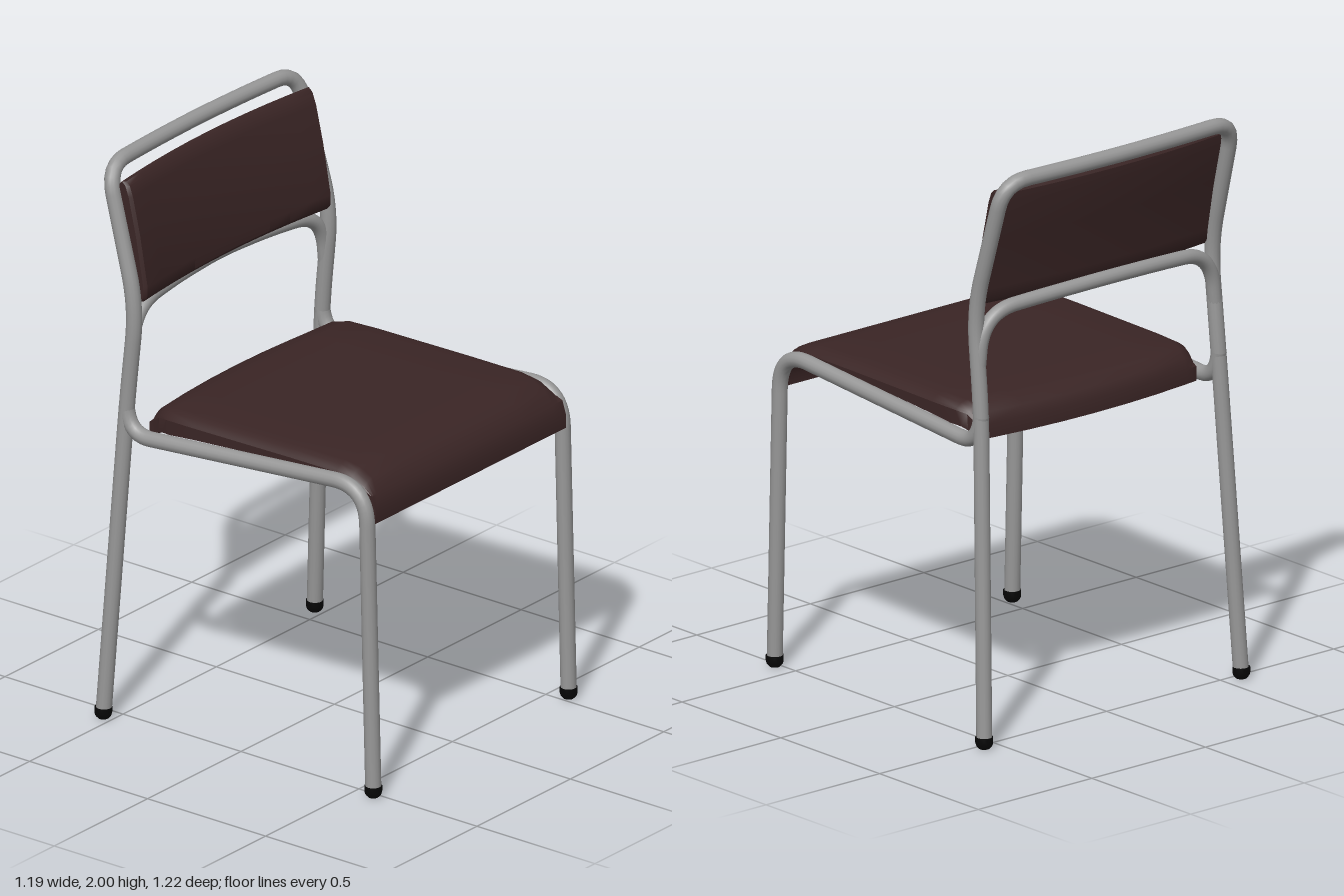
import * as THREE from 'three';
import { toCreasedNormals } from 'three/addons/utils/BufferGeometryUtils.js';

const V = (p) => new THREE.Vector3(p[0], p[1], p[2]);
const mirror = (p) => [-p[0], p[1], p[2]];

// Tube along a polyline whose corners are rounded; p[3] is the bend length at that corner
function pipe(name, points, radius, segments, material) {
  const path = new THREE.CurvePath();
  let last = V(points[0]);
  for (let i = 1; i < points.length - 1; i++) {
    const c = V(points[i]);
    const r = points[i][3];
    const a = c.clone().add(V(points[i - 1]).sub(c).setLength(r));
    const b = c.clone().add(V(points[i + 1]).sub(c).setLength(r));
    path.add(new THREE.LineCurve3(last, a));
    path.add(new THREE.QuadraticBezierCurve3(a, c, b));
    last = b;
  }
  path.add(new THREE.LineCurve3(last, V(points[points.length - 1])));
  const mesh = new THREE.Mesh(new THREE.TubeGeometry(path, segments, radius, 14), material);
  mesh.name = name;
  return mesh;
}

// Closed pad: an outer and an inner [z, y] profile swept over x, then shaped by a rule
function pad(name, outer, inner, xs, shape, material) {
  const n = outer.length;
  const m = n * 2;
  const loop = [...outer, ...inner.slice().reverse()];
  const pos = [];
  const idx = [];
  const quad = (a, b, c, d) => idx.push(a, b, c, a, c, d);
  xs.forEach((x) => loop.forEach(([z, y], j) => pos.push(...shape(x, y, z, j < n))));
  for (let i = 0; i < xs.length - 1; i++) {
    for (let j = 0; j < m; j++) {
      const k = (j + 1) % m;
      quad(i * m + j, (i + 1) * m + j, (i + 1) * m + k, i * m + k);
    }
  }
  // end caps
  const e = (xs.length - 1) * m;
  for (let j = 0; j < n - 1; j++) {
    quad(e + j, e + m - 1 - j, e + m - 2 - j, e + j + 1);
    quad(j, j + 1, m - 2 - j, m - 1 - j);
  }
  const g = new THREE.BufferGeometry();
  g.setAttribute('position', new THREE.Float32BufferAttribute(pos, 3));
  g.setIndex(idx);
  const mesh = new THREE.Mesh(toCreasedNormals(g, 0.7), material);
  mesh.name = name;
  return mesh;
}

export function createModel() {
  const steel = new THREE.MeshStandardMaterial({ color: 0x979797 });
  steel.name = 'grey steel';
  const brown = new THREE.MeshStandardMaterial({ color: 0x3a2525 });
  brown.name = 'dark brown';
  const black = new THREE.MeshStandardMaterial({ color: 0x060606 });
  black.name = 'black rubber';

  const chair = new THREE.Group();
  chair.name = 'chair';

  // Back legs and top rail in one bent tube
  const half = [
    [0.565, 0.03, -0.53],
    [0.522, 1.15, -0.465, 0.12],
    [0.52, 1.5, -0.428, 0.12],
    [0.505, 1.973, -0.56, 0.1],
    [0.25, 1.973, -0.575, 0.1],
  ];
  const backPath = [...half, [0, 1.973, -0.581, 0.1], ...half.slice().reverse().map((p) => [...mirror(p), p[3]])];
  chair.add(pipe('backFrame', backPath, 0.027, 180, steel));

  // Cross rail under the backrest
  const railHalf = [
    [0.52, 1.31, -0.45],
    [0.5, 1.49, -0.45, 0.13],
    [0.25, 1.507, -0.475, 0.1],
  ];
  const railPath = [...railHalf, [0, 1.514, -0.487, 0.1], ...railHalf.slice().reverse().map((p) => [...mirror(p), p[3]])];
  chair.add(pipe('crossRail', railPath, 0.025, 90, steel));

  // Front legs with seat rails, and rubber feet
  const footProfile = [[0, 0], [0.018, 0.002], [0.027, 0.012], [0.03, 0.022], [0.03, 0.042], [0, 0.042]];
  const footGeometry = toCreasedNormals(
    new THREE.LatheGeometry(footProfile.map(([x, y]) => new THREE.Vector2(x, y)), 16), 0.8);
  for (const s of [1, -1]) {
    const side = s > 0 ? 'left' : 'right';
    chair.add(pipe(side + 'FrontLegAndSeatRail', [
      [s * 0.523, 0.03, 0.579],
      [s * 0.523, 1.118, 0.55, 0.14],
      [s * 0.525, 1.035, -0.45, 0.09],
      [s * 0.523, 1.14, -0.467],
    ], 0.027, 110, steel));
    for (const [x, z, end] of [[0.523, 0.579, 'Front'], [0.566, -0.531, 'Back']]) {
      const foot = new THREE.Mesh(footGeometry, black);
      foot.name = side + end + 'Foot';
      foot.position.set(s * x, 0, z);
      chair.add(foot);
    }
  }

  // Seat: waterfall front, rolled back edge, rounded sides and trimmed back corners
  const seatTop = [
    [0.578, 0.985], [0.579, 1.03], [0.563, 1.08], [0.525, 1.122], [0.475, 1.147], [0.41, 1.156],
    [0.2, 1.155], [0, 1.152], [-0.2, 1.149], [-0.32, 1.146], [-0.38, 1.138], [-0.42, 1.115], [-0.438, 1.08], [-0.44, 1.03],
  ];
  const seatUnder = [
    [0.55, 0.985], [0.55, 1.02], [0.535, 1.06], [0.505, 1.09], [0.46, 1.11], [0.41, 1.118],
    [0.2, 1.108], [0, 1.095], [-0.2, 1.08], [-0.3, 1.07], [-0.35, 1.065], [-0.385, 1.055], [-0.405, 1.045], [-0.415, 1.03],
  ];
  const seatXs = [-0.51, -0.503, -0.485, -0.46, -0.3, -0.15, 0, 0.15, 0.3, 0.46, 0.485, 0.503, 0.51];
  chair.add(pad('seat', seatTop, seatUnder, seatXs, (x, y, z, top) => {
    const edge = Math.max(0, (Math.abs(x) - 0.46) / 0.05);
    const back = THREE.MathUtils.smoothstep(-z, 0.28, 0.44);
    const drop = top && y > 1.1 ? 0.027 * edge * edge : 0;
    return [x * (1 - 0.06 * back), y - drop, z + 0.035 * back * (x / 0.51) ** 2];
  }, brown));

  // Backrest: leaning panel bowed towards the rear
  const restFront = [[-0.418, 1.515], [-0.404, 1.53], [-0.402, 1.57], [-0.434, 1.75], [-0.464, 1.88], [-0.478, 1.918], [-0.492, 1.93]];
  const restBack = [[-0.428, 1.515], [-0.44, 1.53], [-0.446, 1.57], [-0.482, 1.75], [-0.513, 1.88], [-0.515, 1.918], [-0.505, 1.93]];
  const restXs = [-0.5, -0.49, -0.4, -0.3, -0.2, -0.1, 0, 0.1, 0.2, 0.3, 0.4, 0.49, 0.5];
  chair.add(pad('backrest', restFront, restBack, restXs, (x, y, z, front) => {
    const round = front && Math.abs(x) > 0.495 ? 0.012 : 0;
    return [x, y, z - round - 0.034 * (1 - (x / 0.5) ** 2)];
  }, brown));

  return chair;
}
